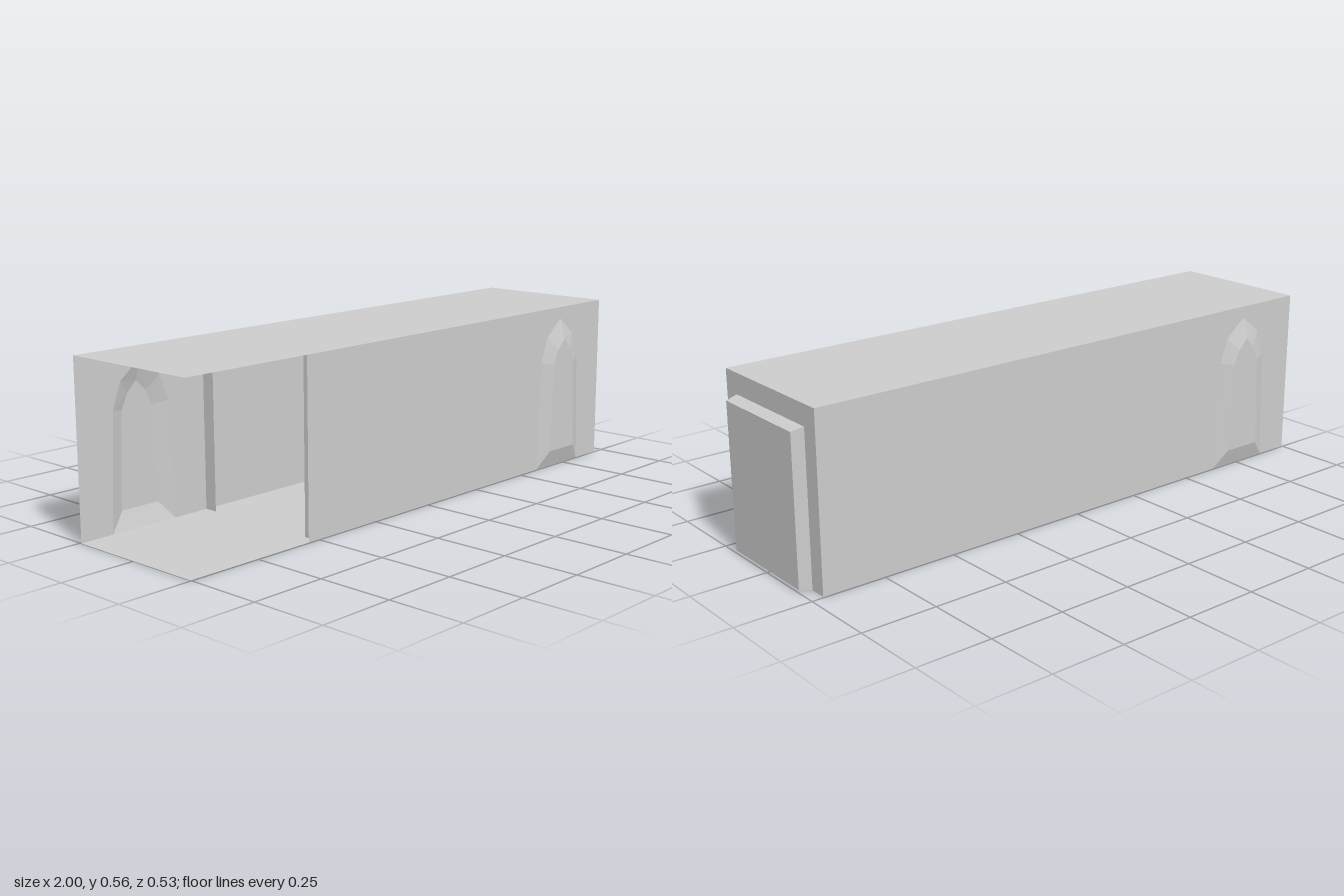
import * as THREE from 'three';
import { mergeGeometries } from 'three/addons/utils/BufferGeometryUtils.js';

const MID = -0.02, HALF = 0.98, H = 0.565, Z = 0.245;
const material = new THREE.MeshStandardMaterial({ color: 0xcccccc, flatShading: true, side: THREE.DoubleSide });

const points = (list) => list.map(([x, y]) => new THREE.Vector2(x, y));

function add(parent, name, geometry) {
  const mesh = new THREE.Mesh(geometry, material);
  mesh.name = name;
  parent.add(mesh);
  return mesh;
}

// Raised field: sloping rim from an outer outline up to an inner one, plus a flat face.
// Both outlines run counter-clockwise and have the same number of corners.
function raised(outer, inner, depth) {
  const pos = [];
  outer.forEach((a, i) => {
    const j = (i + 1) % outer.length;
    const b = outer[j], c = inner[j], d = inner[i];
    pos.push(a.x, a.y, 0, b.x, b.y, 0, c.x, c.y, depth);
    pos.push(a.x, a.y, 0, c.x, c.y, depth, d.x, d.y, depth);
  });
  const rim = new THREE.BufferGeometry();
  rim.setAttribute('position', new THREE.Float32BufferAttribute(pos, 3));
  rim.computeVertexNormals();
  const face = new THREE.ShapeGeometry(new THREE.Shape(inner)).toNonIndexed();
  face.deleteAttribute('uv');
  face.translate(0, 0, depth);
  return mergeGeometries([rim, face]);
}

// Pointed arch outline from its right half, listed bottom to top
function arch(half, cx) {
  const mirrored = half.slice(0, -1).reverse().map(([x, y]) => [-x, y]);
  return points([...half, ...mirrored].map(([x, y]) => [x + cx, y]));
}

// Long wall with a hollow arched bulge near its right end
function longWall(name, start) {
  const wall = new THREE.Group();
  wall.name = name;
  const outer = arch([[0.122, 0], [0.106, 0.38], [0.075, 0.465], [0, 0.525]], 0.74);
  const inner = arch([[0.07, 0.06], [0.058, 0.37], [0.035, 0.42], [0, 0.455]], 0.74);
  const outline = [...points([[HALF, 0], [HALF, H], [start, H], [start, 0]]), ...[...outer].reverse()];
  add(wall, name + 'Panel', new THREE.ShapeGeometry(new THREE.Shape(outline)));
  add(wall, name + 'ArchedBulge', raised(outer, inner, 0.02));
  return wall;
}

export function createModel() {
  const model = new THREE.Group();
  model.name = 'corridorShell';

  // Roof and floor plates span the whole length
  for (const [name, y, turn] of [['roof', H, -1], ['floor', 0, 1]]) {
    const plate = add(model, name, new THREE.PlaneGeometry(2 * HALF, 2 * Z));
    plate.rotation.x = turn * Math.PI / 2;
    plate.position.set(MID, y, 0);
  }

  // The front wall stops short to leave an opening; the back wall is complete
  const front = longWall('frontWall', -0.52);
  front.position.set(MID, 0, Z);
  const back = longWall('backWall', -HALF);
  back.rotation.y = Math.PI;
  back.position.set(MID, 0, -Z);
  model.add(front, back);

  // Narrow jambs just inside the opening
  for (const side of [-1, 1]) {
    const jamb = add(model, side > 0 ? 'frontJamb' : 'backJamb', new THREE.PlaneGeometry(0.045, H));
    jamb.rotation.y = -Math.PI / 2;
    jamb.position.set(-0.51, H / 2, side * (Z - 0.0225));
  }

  // Closed end with its raised rectangular panel
  const end = new THREE.Group();
  end.name = 'closedEnd';
  end.rotation.y = Math.PI / 2;
  end.position.x = MID + HALF;
  add(end, 'endWall', new THREE.PlaneGeometry(2 * Z, H).translate(0, H / 2, 0));
  add(end, 'endPanel', raised(
    points([[-0.188, 0], [0.188, 0], [0.188, 0.497], [-0.188, 0.497]]),
    points([[-0.18, 0.01], [0.18, 0.01], [0.18, 0.488], [-0.18, 0.488]]), 0.04));
  model.add(end);

  return model;
}
